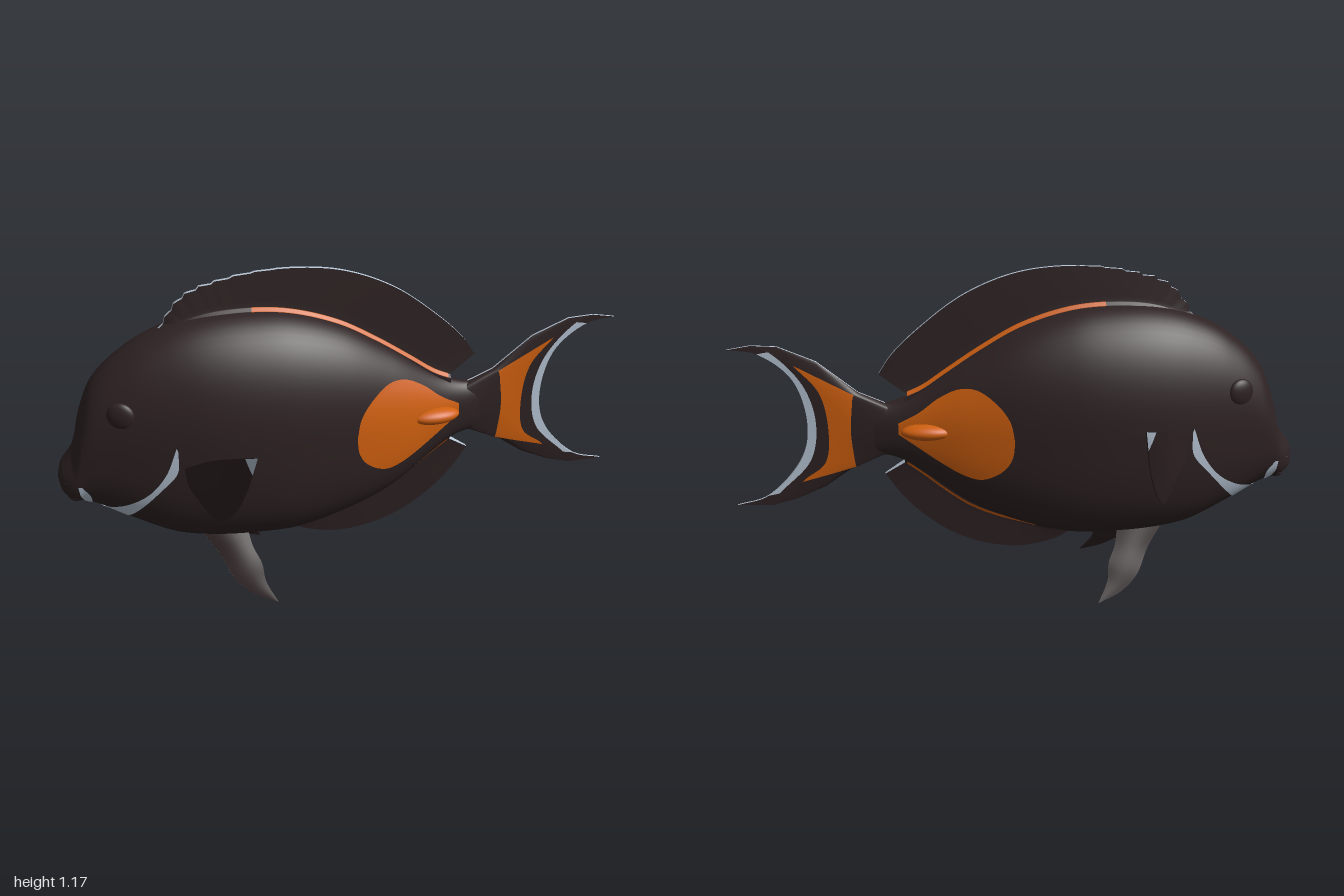
import * as THREE from 'three';

const paint = (color) => new THREE.MeshStandardMaterial({ color, side: THREE.DoubleSide });
const dark = paint(0x2e2223); dark.name = 'dark brown skin';
const orange = paint(0xd0600f); orange.name = 'orange marking';
const pale = paint(0xb8c6d6); pale.name = 'pale blue marking';
const palette = [dark, orange, pale];
const DARK = 0, ORANGE = 1, PALE = 2;

const curve = (pts) => new THREE.CatmullRomCurve3(pts.map((p) => new THREE.Vector3(p[0], p[1], p[2] || 0)));

// Body stations: x, top, bottom, half width
const stations = [
  [-1, 0.475, 0.465, 0.005], [-0.99, 0.515, 0.43, 0.055], [-0.965, 0.55, 0.405, 0.085], [-0.94, 0.59, 0.392, 0.1],
  [-0.91, 0.71, 0.385, 0.112], [-0.86, 0.825, 0.365, 0.13], [-0.74, 0.935, 0.3, 0.168], [-0.61, 1.0, 0.24, 0.2],
  [-0.48, 1.032, 0.217, 0.222], [-0.33, 1.04, 0.21, 0.23], [-0.18, 1.025, 0.215, 0.222], [0, 0.965, 0.262, 0.192],
  [0.17, 0.865, 0.335, 0.145], [0.33, 0.755, 0.45, 0.085], [0.4, 0.72, 0.495, 0.06], [0.47, 0.703, 0.515, 0.042],
  [0.55, 0.72, 0.5, 0.022], [0.6, 0.72, 0.5, 0.01],
];

// Smooth interpolation of the stations at any x
function section(x) {
  let i = 0;
  while (i < stations.length - 2 && x > stations[i + 1][0]) i++;
  const a = stations[i], b = stations[i + 1], h = b[0] - a[0];
  const p = stations[Math.max(i - 1, 0)], q = stations[Math.min(i + 2, stations.length - 1)];
  const t = THREE.MathUtils.clamp((x - a[0]) / h, 0, 1), t2 = t * t, t3 = t2 * t;
  const at = (k) => {
    const ma = (b[k] - p[k]) / (b[0] - p[0]), mb = (q[k] - a[k]) / (q[0] - a[0]);
    return (2 * t3 - 3 * t2 + 1) * a[k] + (t3 - 2 * t2 + t) * h * ma + (3 * t2 - 2 * t3) * b[k] + (t3 - t2) * h * mb;
  };
  const top = at(1), bottom = at(2);
  return { mid: (top + bottom) / 2, half: (top - bottom) / 2, width: Math.max(at(3), 0.004) };
}

// Rounder above, squarer below
const power = (s) => (s < 0 ? 2.8 : 2.1);

function bodyZ(x, y) {
  const c = section(x), s = THREE.MathUtils.clamp((y - c.mid) / c.half, -1, 1), n = power(s);
  return c.width * Math.pow(1 - Math.pow(Math.abs(s), n), 1 / n);
}

// Grid of points with per-cell material index
function gridMesh(name, nu, nv, point, pick = () => DARK) {
  const pos = [], cells = palette.map(() => []);
  for (let i = 0; i <= nu; i++) for (let j = 0; j <= nv; j++) pos.push(...point(i / nu, j / nv, i, j));
  for (let i = 0; i < nu; i++) for (let j = 0; j < nv; j++) {
    const a = i * (nv + 1) + j, b = a + nv + 1;
    cells[pick((i + 0.5) / nu, (j + 0.5) / nv)].push(a, a + 1, b, b, a + 1, b + 1);
  }
  const g = new THREE.BufferGeometry();
  g.setAttribute('position', new THREE.Float32BufferAttribute(pos, 3));
  g.setIndex(cells.flat());
  let start = 0;
  cells.forEach((c, k) => { if (c.length) g.addGroup(start, c.length, k); start += c.length; });
  g.computeVertexNormals();
  const mesh = new THREE.Mesh(g, palette);
  mesh.name = name;
  return mesh;
}

// Thin fin lofted through rows, with two faces and a rim
function fin(name, rows, { thick, dir = [0, 0, 1], pick = () => DARK, rim = PALE, nv = 60, k = 6 }) {
  const group = new THREE.Group(), bands = rows.length - 1, nu = bands * k;
  group.name = name;
  const d = new THREE.Vector3(...dir).normalize();
  const at = (u, v, side) => {
    const r = Math.min(Math.floor(u * bands + 1e-6), bands - 1);
    const p = rows[r].getPoint(v).lerp(rows[r + 1].getPoint(v), u * bands - r);
    return p.addScaledVector(d, side * thick(u, v, p)).toArray();
  };
  for (const side of [1, -1]) {
    group.add(gridMesh(name + (side > 0 ? 'FaceA' : 'FaceB'), nu, nv,
      (u, v) => (side > 0 ? at(u, 1 - v, 1) : at(u, v, -1)),
      (u, v) => pick(u * bands, side > 0 ? 1 - v : v, side)));
  }
  const edge = (f, n) => group.add(gridMesh(name + 'Rim', n, 1, (t, s) => f(t, s * 2 - 1), () => rim));
  edge((t, s) => at(t, 0, s), nu);
  edge((t, s) => at(1, t, s), nv);
  edge((t, s) => at(1 - t, 1, s), nu);
  return group;
}

// Marking lying on the body flank between two outline curves
function marking(name, upper, lower, material, side) {
  const a = curve(upper), b = curve(lower);
  return gridMesh(name, 32, 14, (u, v) => {
    const p = a.getPoint(u).lerp(b.getPoint(u), side > 0 ? v : 1 - v);
    return [p.x, p.y, side * (bodyZ(p.x, p.y) + 0.005)];
  }, () => material);
}

function blob(name, material, position, scale, turn = 0) {
  const m = new THREE.Mesh(new THREE.SphereGeometry(1, 28, 18), material);
  m.name = name;
  m.position.set(...position);
  m.scale.set(...scale);
  m.rotation.y = turn;
  return m;
}

export function createModel() {
  const fish = new THREE.Group();
  fish.name = 'reefFish';

  // Body
  fish.add(gridMesh('body', 120, 64, (u, v) => {
    const x = -1 + 1.6 * Math.pow(u, 1.4), c = section(x), a = v * Math.PI * 2;
    const s = Math.sin(a), co = Math.cos(a), e = 2 / power(s);
    return [x, c.mid + c.half * Math.sign(s) * Math.pow(Math.abs(s), e),
      -c.width * Math.sign(co) * Math.pow(Math.abs(co), e)];
  }));
  fish.add(blob('upperLip', dark, [-0.955, 0.475, 0], [0.045, 0.03, 0.088]));
  fish.add(blob('lowerLip', dark, [-0.94, 0.415, 0], [0.04, 0.027, 0.08]));

  // Dorsal fin: buried base, orange line, spiny outer edge
  const dorsalLine = [[-0.6, 0.98], [-0.5, 1.02], [-0.38, 1.037], [-0.2, 1.028], [-0.02, 0.974],
    [0.12, 0.897], [0.24, 0.818], [0.33, 0.757], [0.39, 0.73]];
  const dorsalTip = curve([[-0.63, 0.99], [-0.54, 1.105], [-0.4, 1.155], [-0.2, 1.177], [0, 1.157],
    [0.18, 1.085], [0.33, 0.975], [0.43, 0.88], [0.478, 0.81]]);
  const spiny = { getPoint(v) {
    const p = dorsalTip.getPoint(v);
    p.y -= 0.022 * ((v * 22) % 1) * Math.max(0, 1 - v * 2.6);
    return p;
  } };
  const shift = (pts, dy) => curve(pts.map(([x, y]) => [x, y + dy]));
  const finThick = (u) => 0.028 - 0.021 * Math.max(0, u * 1.5 - 0.5);
  const lineFrom = (v0) => (r, v) => (r > 1 && r < 2 && v > v0 && v < 0.98 ? ORANGE : DARK);
  fish.add(fin('dorsalFin', [shift(dorsalLine, -0.04), curve(dorsalLine), shift(dorsalLine, 0.014), spiny],
    { thick: finThick, pick: lineFrom(0.3), nv: 110 }));

  // Anal fin
  const analLine = [[-0.2, 0.225], [-0.12, 0.222], [-0.02, 0.25], [0.08, 0.282], [0.17, 0.325],
    [0.26, 0.39], [0.33, 0.448], [0.395, 0.497]];
  const analTip = curve([[-0.21, 0.2], [-0.15, 0.165], [-0.02, 0.138], [0.12, 0.158], [0.24, 0.21],
    [0.34, 0.285], [0.41, 0.36], [0.465, 0.44]]);
  fish.add(fin('analFin', [shift(analLine, 0.04), curve(analLine), shift(analLine, -0.013), analTip],
    { thick: finThick, pick: lineFrom(0.22) }));

  // Tail fin with an orange bar and a pale crescent; second and sixth points bound the markings
  const tailRows = [
    [[0.45, 0.7], [0.45, 0.69], [0.45, 0.65], [0.45, 0.61], [0.45, 0.57], [0.45, 0.53], [0.45, 0.52]],
    [[0.55, 0.745], [0.565, 0.74], [0.575, 0.68], [0.58, 0.61], [0.575, 0.54], [0.565, 0.475], [0.56, 0.48]],
    [[0.82, 0.917], [0.768, 0.85], [0.685, 0.75], [0.658, 0.61], [0.675, 0.49], [0.757, 0.42], [0.78, 0.355]],
    [[0.91, 0.923], [0.85, 0.9], [0.74, 0.78], [0.7, 0.64], [0.725, 0.5], [0.84, 0.378], [0.87, 0.333]],
    [[0.99, 0.91], [0.89, 0.893], [0.775, 0.8], [0.73, 0.64], [0.755, 0.51], [0.88, 0.37], [0.99, 0.338]],
  ];
  // Extra row keeps the upper and lower tail edges gently curved
  tailRows.splice(2, 0, [[0.69, 0.86], [0.667, 0.795], [0.63, 0.715], [0.62, 0.61], [0.625, 0.515], [0.66, 0.447], [0.675, 0.4]]);
  fish.add(fin('tailFin', tailRows.map(curve), {
    thick: (u, v, p) => 0.004 + Math.max(0, 0.036 * (1 - (p.x - 0.45) / 0.5)) * Math.pow(Math.sin(Math.PI * v), 0.6) * (1 - 0.6 * u),
    pick: (r, v) => {
      if (v < 1 / 6 || v > 5 / 6) return DARK;
      return r > 1 && r < 3 ? ORANGE : r > 4 ? PALE : DARK;
    },
  }));

  for (const side of [1, -1]) {
    const half = new THREE.Group();
    half.name = side > 0 ? 'frontFlank' : 'backFlank';

    // Flank markings
    half.add(marking('tailBasePatch',
      [[0.02, 0.61], [0.035, 0.68], [0.075, 0.735], [0.14, 0.778], [0.2, 0.778], [0.275, 0.74], [0.345, 0.685], [0.415, 0.645]],
      [[0.02, 0.61], [0.028, 0.55], [0.06, 0.5], [0.13, 0.462], [0.19, 0.472], [0.265, 0.51], [0.345, 0.56], [0.415, 0.605]],
      ORANGE, side));
    half.add(marking('cheekStripe',
      [[-0.597, 0.645], [-0.637, 0.54], [-0.7, 0.457], [-0.78, 0.403], [-0.865, 0.372]],
      [[-0.592, 0.63], [-0.598, 0.55], [-0.66, 0.472], [-0.735, 0.385], [-0.785, 0.328]], PALE, side));
    half.add(marking('mouthStripe', [[-0.932, 0.475], [-0.925, 0.43], [-0.905, 0.392]],
      [[-0.92, 0.475], [-0.893, 0.435], [-0.89, 0.387]], PALE, side));

    // Tail spine and eye
    half.add(blob('tailSpine', orange, [0.32, 0.622, side * 0.092], [0.088, 0.028, 0.042], side * 0.12));
    half.add(blob('eye', dark, [-0.77, 0.745, side * (bodyZ(-0.77, 0.745) - 0.008)], [0.05, 0.05, 0.022], -side * 0.35));

    // Paired fins, mirrored across the body
    const paired = new THREE.Group();
    paired.name = 'pairedFins';
    paired.scale.z = side;
    const lens = (u, v) => 0.002 + 0.012 * Math.sin(Math.PI * u) * (1 - v);
    paired.add(fin('pectoralFin', [
      curve([[-0.58, 0.55, 0.18], [-0.545, 0.62, 0.29], [-0.505, 0.68, 0.38], [-0.45, 0.725, 0.46], [-0.365, 0.757, 0.525]]),
      curve([[-0.54, 0.44, 0.18], [-0.485, 0.41, 0.3], [-0.44, 0.47, 0.385], [-0.4, 0.58, 0.45], [-0.365, 0.75, 0.523]]),
    ], { thick: lens, dir: [0.76, 0.2, -0.61], rim: DARK, nv: 30,
      pick: (r, v, s) => (s < 0 && v > 0.9 ? PALE : DARK) }));
    paired.add(fin('pelvicFin', [
      curve([[-0.53, 0.25, 0.08], [-0.465, 0.165, 0.125], [-0.42, 0.085, 0.175], [-0.36, 0.035, 0.205], [-0.275, 0.003, 0.23]]),
      curve([[-0.36, 0.25, 0.08], [-0.345, 0.18, 0.125], [-0.318, 0.125, 0.16], [-0.31, 0.07, 0.19], [-0.273, 0.004, 0.229]]),
    ], { thick: lens, dir: [0, -0.51, -0.86], rim: DARK, nv: 24 }));
    half.add(paired);
    fish.add(half);
  }
  return fish;
}
